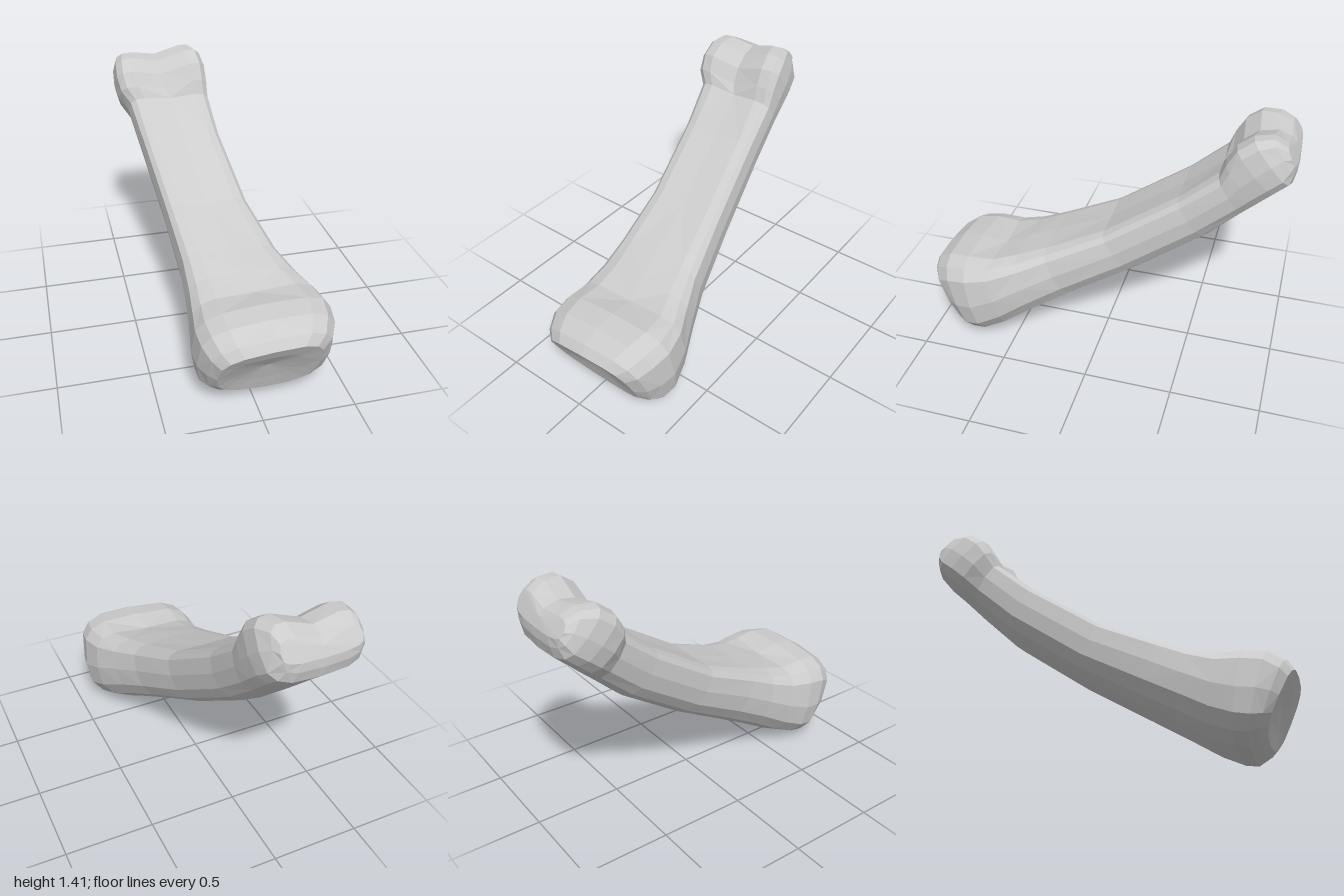
import * as THREE from 'three';

const SIDES = 16;

// Cross-section: top [z,y], bottom [z,y], x range,
// w = height of the widest line, et/eb = top and bottom squareness (small = boxier),
// tilt = rise of the +x side, dip = depth of the groove in the middle of the top
const S = (tz, ty, bz, by, x0, x1, w = 0.55, et = 0.6, eb = 0.75, tilt = 0, dip = 0) =>
  ({ tz, ty, bz, by, x0, x1, w, et, eb, tilt, dip });

const pw = (v, e) => Math.sign(v) * Math.pow(Math.abs(v), e);

function ring(s) {
  const pts = [];
  for (let k = 0; k < SIDES; k++) {
    const a = (k / SIDES) * Math.PI * 2;
    const c = Math.cos(a), n = Math.sin(a);
    const e = n >= 0 ? s.et : s.eb;
    const u = Math.abs(c) < 1e-6 ? 0 : pw(c, e);
    const h = Math.abs(n) < 1e-6 ? 0 : pw(n, e);
    const v = h >= 0 ? s.w + (1 - s.w) * h : s.w * (1 + h);
    const groove = n > 0 ? s.dip * Math.max(0, 1 - Math.abs(u) * 1.3) * v : 0;
    pts.push([
      (s.x0 + s.x1) / 2 + u * (s.x1 - s.x0) / 2,
      s.by + (s.ty - s.by) * v + s.tilt * (u - 0.7) * v - groove,
      s.bz + (s.tz - s.bz) * v - groove * 0.4,
    ]);
  }
  return pts;
}

// Skin a run of sections going from the front to the back
function loft(sections) {
  const rings = sections.map(ring);
  const pos = [];
  const tri = (a, b, c) => pos.push(...a, ...b, ...c);
  for (let i = 0; i < rings.length - 1; i++) {
    for (let k = 0; k < SIDES; k++) {
      const j = (k + 1) % SIDES;
      const a = rings[i][k], b = rings[i][j], c = rings[i + 1][k], d = rings[i + 1][j];
      if (sections[i].x0 === sections[i].x1) tri(a, c, d);
      else if (sections[i + 1].x0 === sections[i + 1].x1) tri(a, c, b);
      else if ((i + k) % 2) { tri(a, c, b); tri(b, c, d); }
      else { tri(a, c, d); tri(a, d, b); }
    }
  }
  const g = new THREE.BufferGeometry();
  g.setAttribute('position', new THREE.Float32BufferAttribute(pos, 3));
  g.computeVertexNormals();
  return g;
}

export function createModel() {
  const group = new THREE.Group();
  group.name = 'fingerBone';
  const bone = new THREE.MeshStandardMaterial({ color: 0xcccccc, flatShading: true });
  bone.name = 'boneGrey';

  // Sections shared by neighbouring parts
  const neck = S(0.48, 0.575, 0.36, 0.165, -0.275, 0.345, 0.58, 0.5, 0.85, 0.01);
  const collar = S(-0.6, 1.185, -0.77, 0.94, -0.385, 0.11, 0.58, 0.5, 0.8, 0, 0.02);

  const parts = {
    // Wide end with a shallow joint socket
    base: [
      S(0.895, 0.27, 0.895, 0.27, 0.05, 0.05),
      S(0.965, 0.37, 0.85, 0.15, -0.14, 0.22, 0.5, 0.65, 0.75, 0.01),
      S(1.0, 0.44, 0.82, 0.06, -0.22, 0.33, 0.5, 0.6, 0.75, 0.02),
      S(0.965, 0.49, 0.78, 0.03, -0.265, 0.39, 0.5, 0.58, 0.72, 0.02),
      S(0.88, 0.545, 0.73, 0.0, -0.3, 0.43, 0.5, 0.55, 0.72, 0.02),
      S(0.76, 0.56, 0.66, 0.01, -0.308, 0.445, 0.5, 0.52, 0.75, 0.02),
      S(0.62, 0.555, 0.54, 0.06, -0.29, 0.415, 0.55, 0.5, 0.8, 0.02, 0.02),
      neck,
    ],
    // Flat-topped, round-backed shaft
    shaft: [
      neck,
      S(0.32, 0.62, 0.17, 0.275, -0.27, 0.275, 0.6, 0.45, 0.85),
      S(0, 0.755, -0.18, 0.48, -0.29, 0.19, 0.6, 0.42, 0.85, 0, 0.01),
      S(-0.4, 1.015, -0.57, 0.75, -0.345, 0.125, 0.6, 0.42, 0.85, 0, 0.01),
      collar,
    ],
    // Double-knuckled head
    head: [
      collar,
      S(-0.625, 1.27, -0.85, 1.02, -0.435, 0.112, 0.55, 0.5, 0.7, 0.01, 0.05),
      S(-0.67, 1.365, -0.92, 1.09, -0.45, 0.11, 0.5, 0.5, 0.65, 0.02, 0.06),
      S(-0.75, 1.425, -0.985, 1.15, -0.445, 0.095, 0.5, 0.52, 0.6, 0.02, 0.06),
      S(-0.85, 1.43, -0.998, 1.21, -0.425, 0.06, 0.5, 0.55, 0.6, 0.02, 0.05),
      S(-0.93, 1.38, -0.995, 1.26, -0.4, 0.04, 0.5, 0.55, 0.6, 0.015, 0.03),
      S(-0.97, 1.31, -0.97, 1.31, -0.18, -0.18),
    ],
  };

  for (const [name, sections] of Object.entries(parts)) {
    const mesh = new THREE.Mesh(loft(sections), bone);
    mesh.name = name;
    group.add(mesh);
  }
  return group;
}
